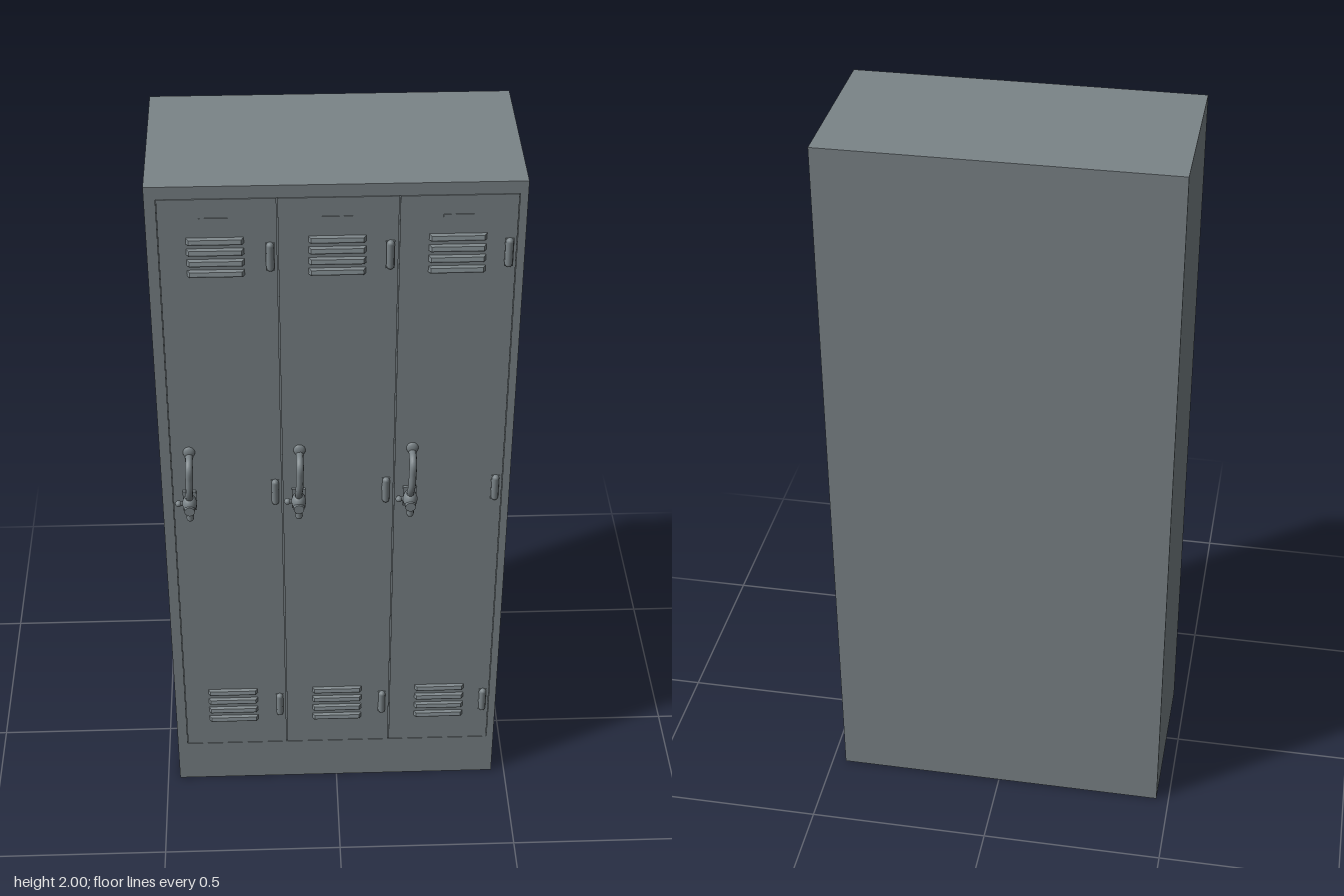
import * as THREE from 'three';

const paint = new THREE.MeshStandardMaterial({ color: 0x7b8488 });
paint.name = 'grey painted steel';

const FRONT = 0.207, BACK = -0.265, LEFT = 0.462, RIGHT = -0.465;
const seams = [-0.437, -0.145, 0.152, 0.442];
const doorBottom = 0.14, doorTop = 1.966;

function add(parent, name, geometry, x = 0, y = 0, z = 0) {
  const mesh = new THREE.Mesh(geometry, paint);
  mesh.name = name;
  mesh.position.set(x, y, z);
  parent.add(mesh);
  return mesh;
}

// Rectangle path for panels and openings
function rectangle(path, x0, y0, x1, y1) {
  path.moveTo(x0, y0);
  path.lineTo(x1, y0);
  path.lineTo(x1, y1);
  path.lineTo(x0, y1);
  path.closePath();
  return path;
}

// Hooded vent slat: side profile swept along x
function slatGeometry(width) {
  const profile = new THREE.Shape([
    [-0.002, -0.009], [0.009, -0.009], [0.010, -0.005], [0.007, 0.004], [-0.002, 0.009],
  ].map(p => new THREE.Vector2(...p)));
  const g = new THREE.ExtrudeGeometry(profile, { depth: width, bevelEnabled: false });
  g.translate(0, 0, -width / 2).rotateY(-Math.PI / 2);
  // Pull the outer edge in at both ends
  const p = g.attributes.position;
  for (let i = 0; i < p.count; i++) {
    if (p.getZ(i) > 0.004) p.setX(i, p.getX(i) - Math.sign(p.getX(i)) * 0.008);
  }
  g.computeVertexNormals();
  return g;
}

// Pull handle with latch knob and side stub; origin at the door surface
function createHandle() {
  const handle = new THREE.Group();
  handle.name = 'handle';
  const path = new THREE.CatmullRomCurve3([
    [0.004, 1.197, -0.002], [0.004, 1.196, 0.028], [0.004, 1.183, 0.043], [0.003, 1.15, 0.046],
    [0.002, 1.115, 0.045], [0, 1.092, 0.036], [0, 1.07, 0.022],
  ].map(p => new THREE.Vector3(...p)));
  add(handle, 'handleBar', new THREE.TubeGeometry(path, 28, 0.010, 10));
  // Upper mounting pad
  add(handle, 'upperMount', new THREE.SphereGeometry(0.016, 14, 10), 0.004, 1.208, 0).scale.set(1, 1.1, 0.5);
  // Rounded latch body with backing plate
  add(handle, 'latchPlate', new THREE.BoxGeometry(0.036, 0.062, 0.010), 0, 1.052, 0.003);
  add(handle, 'latchBody', new THREE.SphereGeometry(0.022, 16, 12), 0, 1.055, 0.022).scale.set(0.9, 1.15, 1);
  const lock = add(handle, 'lockBarrel', new THREE.CylinderGeometry(0.014, 0.016, 0.03, 14), 0, 1.046, 0.033);
  lock.rotation.x = Math.PI / 2;
  add(handle, 'latchTail', new THREE.CapsuleGeometry(0.010, 0.016, 4, 10), 0, 1.022, 0.032);
  // Side stub
  const stem = add(handle, 'stubStem', new THREE.CylinderGeometry(0.006, 0.006, 0.03, 10), -0.02, 1.052, 0.018);
  stem.rotation.z = Math.PI / 2;
  add(handle, 'stubKnob', new THREE.SphereGeometry(0.009, 10, 8), -0.030, 1.052, 0.018);
  return handle;
}

export function createModel() {
  const group = new THREE.Group();
  group.name = 'lockerCabinet';
  const seamDepth = 0.004;

  // Cabinet body and front frame
  const depth = FRONT - seamDepth - BACK;
  add(group, 'cabinetBody', new THREE.BoxGeometry(LEFT - RIGHT, 2, depth),
    (LEFT + RIGHT) / 2, 1, BACK + depth / 2);
  const frame = rectangle(new THREE.Shape(), RIGHT, 0, LEFT, 2);
  frame.holes.push(rectangle(new THREE.Path(), seams[0], doorBottom, seams[3], doorTop));
  add(group, 'frontFrame', new THREE.ExtrudeGeometry(frame, { depth: seamDepth, bevelEnabled: false }),
    0, 0, FRONT - seamDepth);

  const slat = slatGeometry(0.145);
  const hingePin = new THREE.CapsuleGeometry(0.010, 0.062, 4, 10);
  const hingeLeaf = new THREE.BoxGeometry(0.022, 0.078, 0.006);
  const ventX = [-0.298, 0.001, 0.296];
  const hingeX = [-0.164, 0.131, 0.423];
  const handleX = [-0.392, -0.102, 0.195];

  for (let i = 0; i < 3; i++) {
    const door = new THREE.Group();
    door.name = 'door' + (i + 1);
    group.add(door);

    // Door panel with a narrow seam all round
    const gap = 0.0015;
    const w = seams[i + 1] - seams[i] - 2 * gap, h = doorTop - doorBottom - 2 * gap;
    add(door, 'doorPanel', new THREE.BoxGeometry(w, h, seamDepth),
      (seams[i] + seams[i + 1]) / 2, (doorTop + doorBottom) / 2, FRONT - seamDepth / 2);

    // Vents at the top and bottom
    for (const [base, pitch] of [[1.759, 0.0305], [0.244, 0.0345]]) {
      for (let k = 0; k < 4; k++) add(door, 'ventSlat', slat, ventX[i], base + k * pitch, FRONT);
    }

    // Label plate above the top vent
    add(door, 'labelPlate', new THREE.BoxGeometry(0.075, 0.022, 0.003), ventX[i], 1.902, FRONT + 0.0005);

    // Hinges
    for (const y of [1.803, 1.073, 0.294]) {
      add(door, 'hingePin', hingePin, hingeX[i], y, FRONT + 0.003);
      add(door, 'hingeLeaf', hingeLeaf, hingeX[i], y, FRONT);
    }

    const handle = createHandle();
    handle.position.set(handleX[i], 0, FRONT);
    door.add(handle);
  }
  return group;
}
